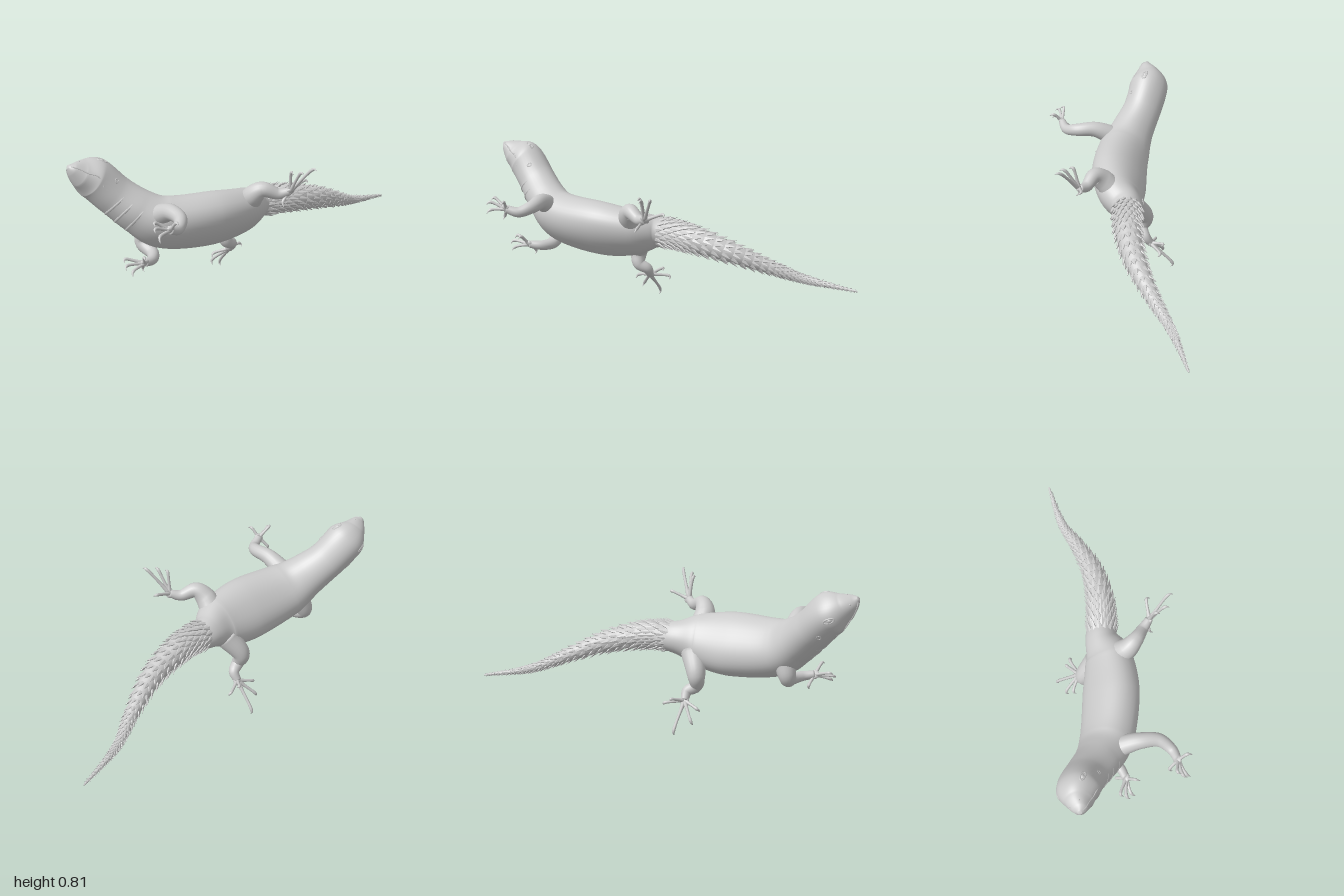
import * as THREE from 'three';
import { mergeGeometries } from 'three/addons/utils/BufferGeometryUtils.js';

const V = (x, y, z) => new THREE.Vector3(x, y, z);
const SIDE = V(0, 0.78, 0.62);    // sideways axis of the rolled body
const BACK = V(0, 0.62, -0.78);   // direction the back faces
const material = new THREE.MeshStandardMaterial({ color: 0xcccccc });

// A limb or body path: knots are [x, y, z, half width, half depth]
function makePath(knots, ref, square = 1) {
  const centre = new THREE.CatmullRomCurve3(knots.map(k => V(k[0], k[1], k[2])));
  const size = new THREE.CatmullRomCurve3(knots.map(k => V(k[3], k[4] ?? k[3], 0)));
  const frame = (t, side = ref) => {
    const along = centre.getTangent(t);
    const u = side.clone().projectOnPlane(along).normalize();
    const d = u.clone().cross(along);
    return { c: centre.getPoint(t), along, u, d, size: size.getPoint(t) };
  };
  const rim = (f, angle, grow = 1) => {
    const bend = v => Math.sign(v) * Math.pow(Math.abs(v), square) * grow;
    return f.c.clone()
      .addScaledVector(f.u, bend(Math.cos(angle)) * f.size.x)
      .addScaledVector(f.d, bend(Math.sin(angle)) * f.size.y);
  };
  const surface = (t, degrees, grow) => rim(frame(t), degrees * Math.PI / 180, grow);
  return { frame, rim, surface };
}

// Closed skin around a path; carry keeps the rings from twisting
function loft(path, ref, rings, sides, carry = true) {
  const pos = [], index = [];
  let side = ref;
  for (let i = 0; i <= rings; i++) {
    const f = path.frame(i / rings, side);
    if (carry) side = f.u;
    for (let j = 0; j < sides; j++) pos.push(...path.rim(f, j / sides * Math.PI * 2).toArray());
  }
  for (let i = 0; i < rings; i++) for (let j = 0; j < sides; j++) {
    const a = i * sides + j, b = i * sides + (j + 1) % sides;
    index.push(a, a + sides, b, b, a + sides, b + sides);
  }
  const start = pos.length / 3, last = rings * sides;
  pos.push(...path.frame(0).c.toArray(), ...path.frame(1).c.toArray());
  for (let j = 0; j < sides; j++) {
    const k = (j + 1) % sides;
    index.push(start, j, k, start + 1, last + k, last + j);
  }
  const g = new THREE.BufferGeometry();
  g.setAttribute('position', new THREE.Float32BufferAttribute(pos, 3));
  g.setIndex(index);
  g.computeVertexNormals();
  return g;
}

function add(parent, name, geometry) {
  const mesh = new THREE.Mesh(geometry, material);
  mesh.name = name;
  parent.add(mesh);
  return mesh;
}

function ball(parent, name, p, r) {
  const mesh = add(parent, name, new THREE.SphereGeometry(r, 16, 12));
  mesh.position.copy(p);
  return mesh;
}

const cord = (points, r) =>
  new THREE.TubeGeometry(new THREE.CatmullRomCurve3(points), 32, r, 6);

// Leg with a palm and five arched toes ending in hooked claws
function addLeg(parent, name, knots, tips) {
  const leg = new THREE.Group();
  leg.name = name;
  parent.add(leg);
  const ref = V(0.9, 0.2, -0.35);
  add(leg, 'limb', loft(makePath(knots, ref), ref, 32, 18));
  const wrist = V(...knots.at(-1).slice(0, 3));
  const palm = ball(leg, 'palm', wrist, 0.025);
  palm.scale.set(1, 1, 0.55);
  palm.quaternion.setFromUnitVectors(V(0, 0, 1), BACK.clone().normalize());
  for (const t of tips) {
    const tip = V(...t), at = (s, lift) =>
      wrist.clone().lerp(tip, s).addScaledVector(BACK, lift).toArray();
    const toe = [
      [...at(0.05, 0), 0.013], [...at(0.35, 0.008), 0.0085], [...at(0.65, 0.016), 0.0075],
      [...at(0.88, 0.019), 0.0085], [...at(0.98, 0.013), 0.0055], [...at(1, -0.004), 0.001],
    ];
    add(leg, 'toe', loft(makePath(toe, ref), ref, 20, 8));
  }
}

export function createModel() {
  const lizard = new THREE.Group();
  lizard.name = 'lizard';

  // Head, neck and trunk in one skin
  const body = makePath([
    [-0.998, 0.800, -0.10, 0.010, 0.010], [-0.977, 0.784, -0.10, 0.036, 0.034],
    [-0.935, 0.755, -0.108, 0.066, 0.07], [-0.865, 0.712, -0.117, 0.106, 0.10],
    [-0.775, 0.62, -0.09, 0.104, 0.10], [-0.67, 0.53, -0.04, 0.118, 0.108],
    [-0.56, 0.465, -0.005, 0.146, 0.122], [-0.3, 0.437, 0.005, 0.168, 0.122],
    [-0.1, 0.437, -0.02, 0.138, 0.103], [0, 0.445, -0.06, 0.087, 0.08],
    [0.08, 0.445, -0.068, 0.07, 0.066],
  ], SIDE, 0.9);
  add(lizard, 'body', loft(body, SIDE, 120, 40, false));

  // Face details on both sides; angle 0 is the left flank, 90 the back
  for (const left of [true, false]) {
    const spot = (t, a, grow) => body.surface(t, left ? a : 180 - a, grow);
    const ring = (t, a, dt, da) => Array.from({ length: 13 }, (_, i) => {
      const w = i / 12 * Math.PI * 2;
      return spot(t + dt * Math.cos(w), a + da * Math.sin(w), 0.98);
    });
    const side = left ? 'left' : 'right';
    ball(lizard, side + 'Eye', spot(0.28, 32, 0.9), 0.014);
    add(lizard, side + 'Eyelid', cord(ring(0.28, 32, 0.02, 7), 0.005));
    add(lizard, side + 'Ear', cord(ring(0.36, 2, 0.007, 5), 0.004));
    ball(lizard, side + 'Nostril', spot(0.13, 45, 0.99), 0.004);
    add(lizard, side + 'Lip', cord(
      [0.03, 0.08, 0.14, 0.2, 0.26, 0.33].map((t, i) => spot(t, -8 - i * 6, 0.99)), 0.0035));
  }
  // Folds of loose skin under the throat
  [0.43, 0.47, 0.51].forEach(t => add(lizard, 'throatFold', cord(
    [-175, -150, -120, -90, -60, -30, -5].map((a, i) =>
      body.surface(t - 0.015 * Math.sin(i / 6 * Math.PI), a,
        0.9 + 0.06 * Math.sin(i / 6 * Math.PI))), 0.009)));

  // Tail core
  const tail = makePath([
    [0.0, 0.447, -0.06, 0.076], [0.1, 0.446, -0.067, 0.069], [0.2, 0.432, -0.078, 0.066],
    [0.4, 0.378, -0.13, 0.052], [0.6, 0.292, -0.235, 0.032], [0.72, 0.238, -0.312, 0.02],
    [0.8, 0.215, -0.35, 0.015], [0.995, 0.178, -0.42, 0.004],
  ], SIDE);
  add(lizard, 'tail', loft(tail, SIDE, 60, 20, false));

  // Whorls of broad pointed scales, smaller towards the tip
  const scales = [];
  let row = 0;
  for (let t = 0.05; t < 0.985; row++) {
    const f = tail.frame(t), r = f.size.x;
    const count = Math.max(7, Math.round(6 + r * 120));
    for (let i = 0; i < count; i++) {
      const w = (i + (row % 2) / 2) / count * Math.PI * 2;
      const out = f.u.clone().multiplyScalar(Math.cos(w)).addScaledVector(f.d, Math.sin(w));
      const dir = f.along.clone().multiplyScalar(0.9).addScaledVector(out, 0.4).normalize();
      const across = dir.clone().cross(out).normalize();
      const normal = across.clone().cross(dir);
      const length = 0.015 + r * 0.65, width = r * 8.4 / count;
      const g = new THREE.ConeGeometry(0.5, 1, 6, 1).toNonIndexed();
      g.translate(0, 0.35, 0).scale(width, length, width * 0.55);
      g.applyMatrix4(new THREE.Matrix4().makeBasis(across, dir, normal)
        .setPosition(f.c.clone().addScaledVector(out, r * 0.95)));
      g.computeVertexNormals();
      scales.push(g);
    }
    t += 0.011 + r * 0.38;
  }
  add(lizard, 'tailScales', mergeGeometries(scales));

  // Legs
  addLeg(lizard, 'leftFrontLeg', [
    [-0.6, 0.52, 0.04, 0.058], [-0.575, 0.58, 0.16, 0.042], [-0.565, 0.578, 0.26, 0.034],
    [-0.605, 0.56, 0.325, 0.027], [-0.66, 0.578, 0.355, 0.02],
  ], [[-0.74, 0.62, 0.37], [-0.75, 0.60, 0.40], [-0.735, 0.56, 0.42],
    [-0.70, 0.51, 0.33], [-0.64, 0.62, 0.42]]);
  addLeg(lizard, 'rightFrontLeg', [
    [-0.61, 0.42, -0.07, 0.058], [-0.635, 0.338, -0.08, 0.042], [-0.615, 0.303, 0.0, 0.032],
    [-0.645, 0.302, 0.07, 0.026], [-0.7, 0.31, 0.105, 0.02],
  ], [[-0.80, 0.33, 0.095], [-0.805, 0.305, 0.13], [-0.78, 0.275, 0.155],
    [-0.69, 0.245, 0.065], [-0.72, 0.355, 0.175]]);
  addLeg(lizard, 'leftHindLeg', [
    [-0.08, 0.45, -0.01, 0.065], [-0.085, 0.55, 0.075, 0.055], [-0.05, 0.59, 0.115, 0.041],
    [0.02, 0.567, 0.15, 0.029], [0.07, 0.582, 0.18, 0.02],
  ], [[0.16, 0.715, 0.29], [0.175, 0.61, 0.175], [0.095, 0.70, 0.275],
    [0.06, 0.695, 0.23], [0.025, 0.515, 0.2]]);
  addLeg(lizard, 'rightHindLeg', [
    [-0.1, 0.39, -0.08, 0.065], [-0.155, 0.285, -0.145, 0.046], [-0.145, 0.225, -0.13, 0.034],
    [-0.105, 0.195, -0.15, 0.028], [-0.105, 0.155, -0.18, 0.02],
  ], [[-0.11, 0.006, -0.295], [-0.185, 0.055, -0.235], [-0.2, 0.115, -0.19],
    [-0.01, 0.13, -0.225], [-0.06, 0.165, -0.24]]);

  return lizard;
}
